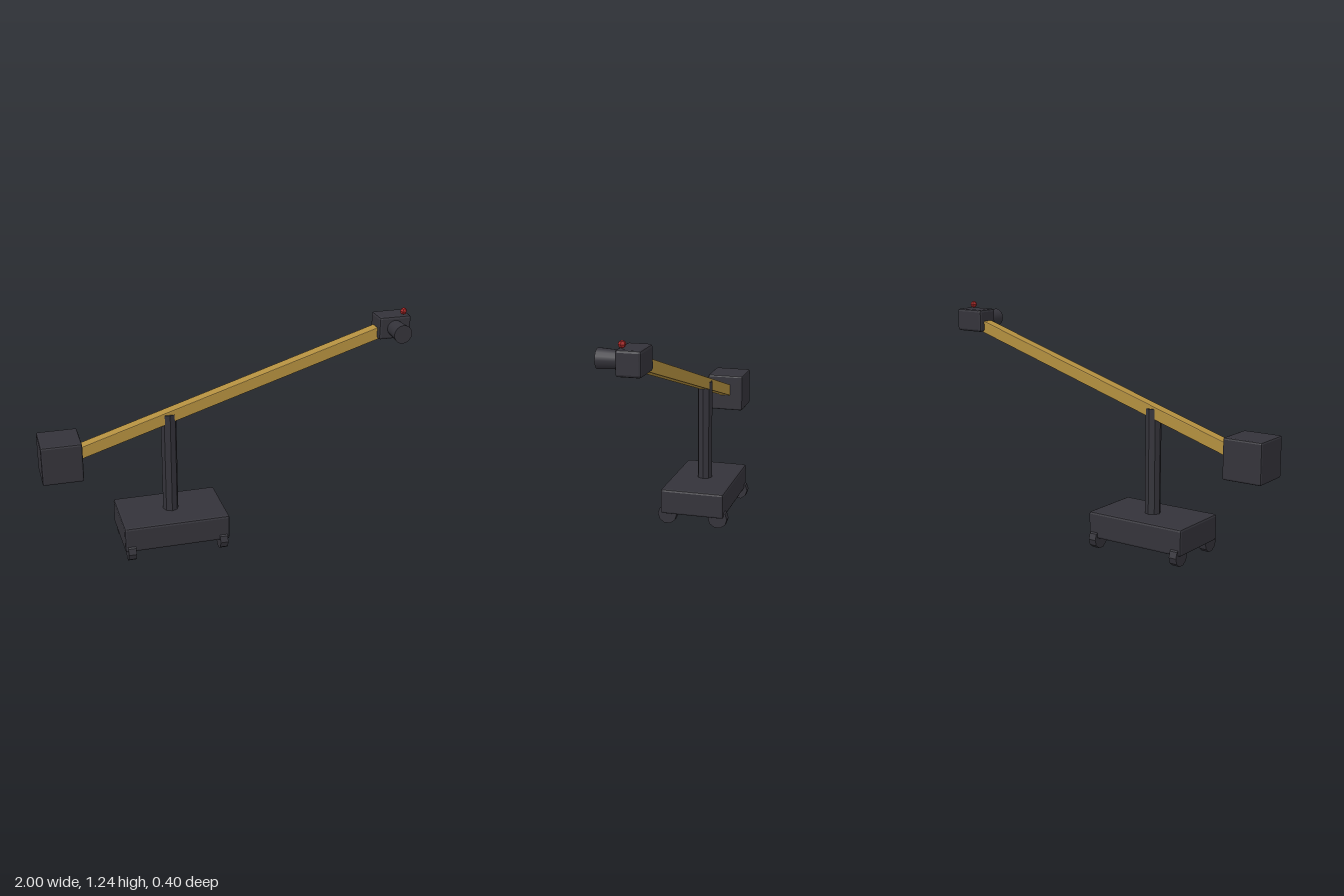
import * as THREE from 'three';
import { RoundedBoxGeometry } from 'three/addons/geometries/RoundedBoxGeometry.js';

const darkMetal = new THREE.MeshStandardMaterial({ color: 0x34333a });
const ochrePaint = new THREE.MeshStandardMaterial({ color: 0xb38f3f });
const signalRed = new THREE.MeshStandardMaterial({ color: 0xaa2626 });

// Faceted normals for the low-poly look
function faceted(geometry) {
  const g = geometry.index ? geometry.toNonIndexed() : geometry;
  g.computeVertexNormals();
  return g;
}

// Box with a single chamfer along every edge
function chamferBox(w, h, d, bevel) {
  return faceted(new RoundedBoxGeometry(w, h, d, 1, bevel));
}

export function createModel() {
  const model = new THREE.Group();
  model.name = 'cameraCrane';

  function add(name, geometry, material, x, y, z) {
    const mesh = new THREE.Mesh(geometry, material);
    mesh.name = name;
    mesh.position.set(x, y, z);
    model.add(mesh);
    return mesh;
  }

  const mastX = -0.316;

  // Rolling base
  add('base', chamferBox(0.572, 0.142, 0.358, 0.012), darkMetal, mastX, 0.128, 0);

  // Four ten-sided wheels, axles along x
  const wheel = faceted(new THREE.CylinderGeometry(0.054, 0.054, 0.042, 10));
  wheel.rotateZ(Math.PI / 2);
  for (const sx of [-1, 1]) {
    for (const sz of [-1, 1]) {
      const side = (sx > 0 ? 'Left' : 'Right');
      add((sz > 0 ? 'front' : 'back') + side + 'Wheel', wheel, darkMetal,
        mastX + sx * 0.251, 0.0515, sz * 0.144);
    }
  }

  // Octagonal mast
  add('mast', faceted(new THREE.CylinderGeometry(0.042, 0.042, 0.58, 8)), darkMetal, mastX, 0.47, 0);

  // Sloping boom from the counterweight to the camera
  const start = new THREE.Vector2(-0.87, 0.572);
  const end = new THREE.Vector2(0.875, 1.119);
  const span = end.clone().sub(start);
  const boom = add('boom', chamferBox(span.length(), 0.064, 0.062, 0.004), ochrePaint,
    (start.x + end.x) / 2, (start.y + end.y) / 2, 0);
  boom.rotation.z = span.angle();

  // Counterweight
  add('counterweight', chamferBox(0.213, 0.213, 0.213, 0.01), darkMetal, -0.8935, 0.579, 0);

  // Camera body with a flared lens hood facing the front
  add('cameraBody', chamferBox(0.178, 0.124, 0.124, 0.013), darkMetal, 0.911, 1.138, 0);
  const lens = new THREE.CylinderGeometry(0.05, 0.041, 0.14, 16);
  lens.rotateX(Math.PI / 2);
  add('lens', lens, darkMetal, 0.909, 1.137, 0.1);

  // Tally lamp on top of the camera
  add('tallyLamp', faceted(new THREE.SphereGeometry(0.019, 6, 4)), signalRed, 0.963, 1.219, 0.037);

  return model;
}
